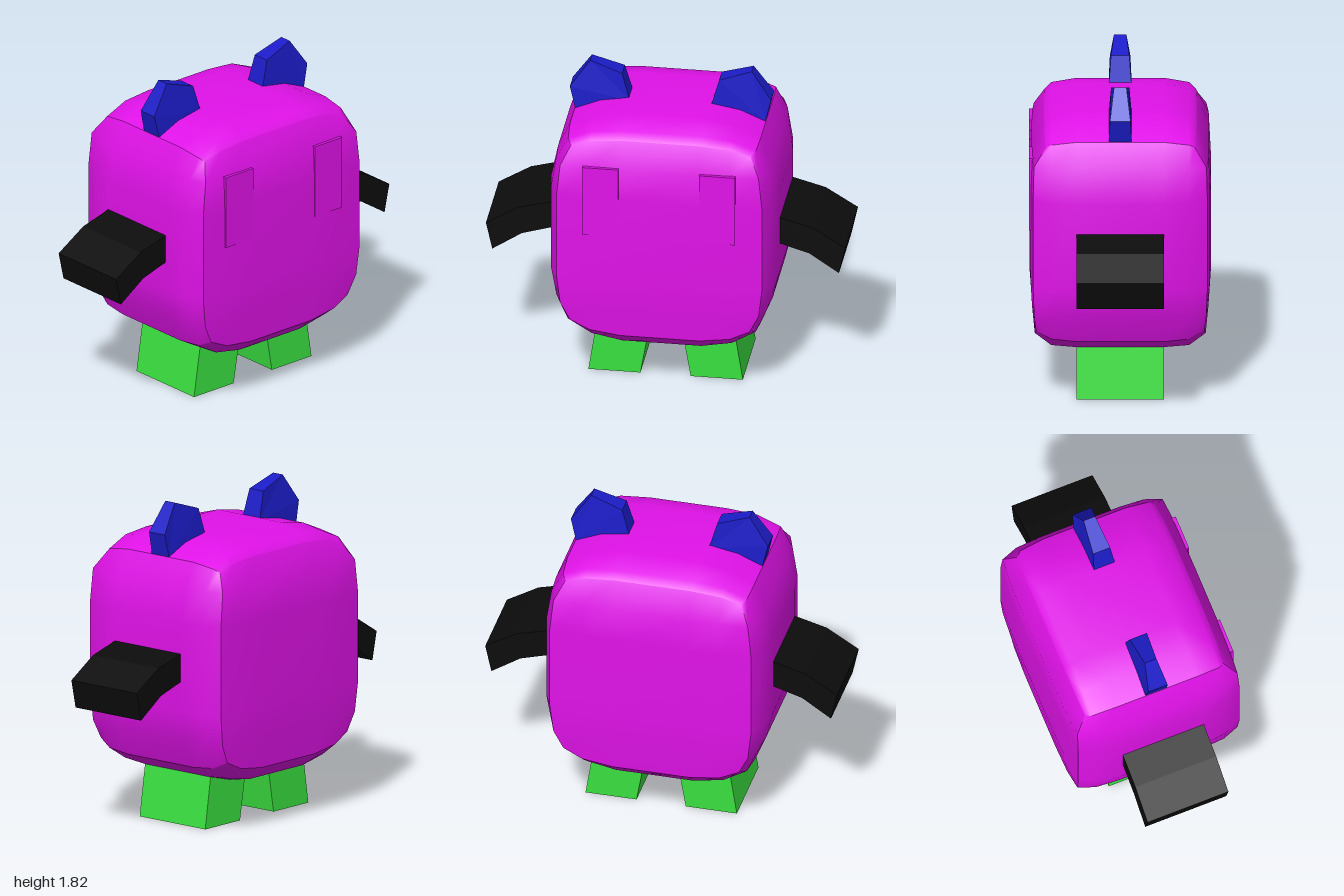
import * as THREE from 'three';

const mat = (color, flatShading) => new THREE.MeshStandardMaterial({ color, flatShading });

// Reads a value at the grid levels 0.2, 0.6 and 1
const pick = (t, list) => list[Math.round((Math.abs(t) - 0.2) / 0.4)];

// How far a face falls back towards its edges and corners
const drop = (a, b) => a + b - 0.5 * Math.min(a, b);

// Puffed-up box: each face is smooth, with creases where faces meet
function bodyGeometry() {
  const g = new THREE.BoxGeometry(2, 2, 2, 5, 5, 5);
  const p = g.attributes.position;
  for (let i = 0; i < p.count; i++) {
    const u = p.getX(i), v = p.getY(i), w = p.getZ(i);
    const up = v > 0;
    const x = pick(u, [0.22, 0.39,
      0.637 - drop(pick(v, [0, 0.04, 0.105]), pick(w, [0, 0.02, 0.065]))]);
    const z = pick(w, [0.24, 0.38,
      0.5 - drop(pick(v, up ? [0, 0.01, 0.08] : [0, 0.012, 0.027]), pick(u, [0, 0.005, 0.02]))]);
    const y = up
      ? pick(v, [1.2, 1.39, 1.62 - drop(pick(u, [0, 0.03, 0.09]), pick(w, [0, 0.04, 0.08]))])
      : pick(v, [0.7, 0.53, 0.245 + drop(pick(u, [0, 0.045, 0.125]), pick(w, [0, 0.025, 0.105]))]);
    p.setXYZ(i, Math.sign(u) * x, y, Math.sign(w) * z);
  }
  g.computeVertexNormals();
  return g;
}

// Front outline extruded evenly about z = 0; side mirrors it across x
function slab(points, side, halfDepth) {
  const shape = new THREE.Shape(points.map(([x, y]) => new THREE.Vector2(x * side, y)));
  const g = new THREE.ExtrudeGeometry(shape, { depth: halfDepth * 2, bevelEnabled: false });
  return g.translate(0, 0, -halfDepth);
}

const ARM = [[0.55, 1.04], [0.635, 1.03], [0.82, 0.98], [1, 0.87], [0.965, 0.71], [0.8, 0.82], [0.635, 0.87], [0.55, 0.88]];
const LEG = [[0.14, 0], [0.43, 0], [0.385, 0.29], [0.09, 0.29]];
const EAR = [[0.53, 1.53], [0.56, 1.66], [0.45, 1.82], [0.27, 1.76], [0.225, 1.6]];

export function createModel() {
  const model = new THREE.Group();
  const add = (name, geometry, material) => {
    const mesh = new THREE.Mesh(geometry, material);
    mesh.name = name;
    model.add(mesh);
    return mesh;
  };
  const bodyMat = mat(0xe012e8, false);
  const armMat = mat(0x0c0c0c, true);
  const legMat = mat(0x3ae040, true);
  const earMat = mat(0x1c1cc8, true);

  add('body', bodyGeometry(), bodyMat);

  for (const [label, side] of [['left', 1], ['right', -1]]) {
    add(label + 'Arm', slab(ARM, side, 0.24), armMat);
    add(label + 'Leg', slab(LEG, side, 0.24), legMat);

    // Ears get thinner towards the tip
    const ear = slab(EAR, side, 0.063);
    const p = ear.attributes.position;
    for (let i = 0; i < p.count; i++) {
      const y = p.getY(i);
      const k = y > 1.8 ? 0.55 : y > 1.7 ? 0.8 : y > 1.65 ? 0.9 : 1;
      p.setZ(i, p.getZ(i) * k);
    }
    ear.computeVertexNormals();
    add(label + 'Ear', ear, earMat);

    // Eye panel almost flush with the face
    add(label + 'Eye', new THREE.BoxGeometry(0.2, 0.42, 0.04), bodyMat)
      .position.set(side * 0.325, 1.19, 0.482);
  }
  return model;
}
